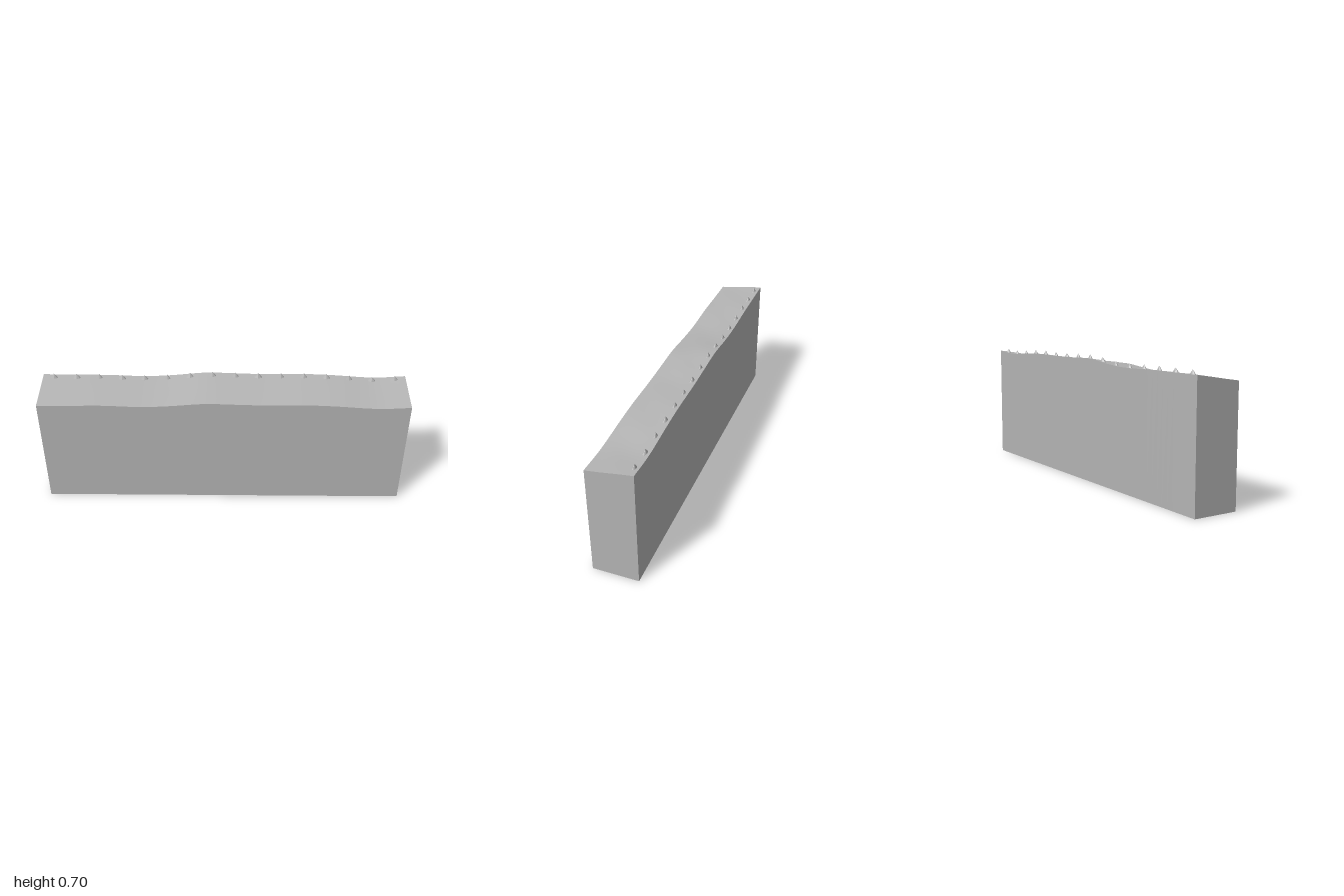
import * as THREE from 'three';

// Height of the front and back top edges, at matching x stations
const stations = [-1, -0.82, -0.65, -0.45, -0.3, -0.1, 0.05, 0.22, 0.45, 0.6, 0.8, 0.9, 1];
const frontEdge = [0.625, 0.626, 0.628, 0.621, 0.627, 0.643, 0.640, 0.636, 0.638, 0.632, 0.619, 0.620, 0.626];
const backEdge = [0.663, 0.662, 0.661, 0.655, 0.661, 0.680, 0.677, 0.672, 0.674, 0.668, 0.654, 0.656, 0.664];

// Smooth interpolation along an edge
function sample(edge, x) {
  let i = 0;
  while (i < stations.length - 2 && x > stations[i + 1]) i++;
  const t = (x - stations[i]) / (stations[i + 1] - stations[i]);
  const at = (k) => edge[Math.min(Math.max(k, 0), edge.length - 1)];
  const [a, b, c, d] = [at(i - 1), at(i), at(i + 1), at(i + 2)];
  return b + 0.5 * t * (c - a + t * (2 * a - 5 * b + 4 * c - d + t * (3 * (b - c) + d - a)));
}

// The top slopes up to the back, with faint diagonal ripples
function topHeight(x, z) {
  const t = (0.125 - z) / 0.25;
  const ripple = 0.0012 * Math.sin(t * Math.PI) * Math.sin(22 * x + 18 * z);
  return THREE.MathUtils.lerp(sample(frontEdge, x), sample(backEdge, x), t) + ripple;
}

export function createModel() {
  const model = new THREE.Group();
  const stone = new THREE.MeshStandardMaterial({ color: 0xb4b4b4 });
  stone.name = 'grey stone';
  const spikeStone = stone.clone();
  spikeStone.name = 'grey spike stone';
  spikeStone.flatShading = true;

  // Wall: a block whose top follows the wavy slope
  const wallGeometry = new THREE.BoxGeometry(2, 1, 0.25, 48, 1, 6);
  const p = wallGeometry.attributes.position;
  for (let i = 0; i < p.count; i++) {
    p.setY(i, p.getY(i) > 0 ? topHeight(p.getX(i), p.getZ(i)) : 0);
  }
  wallGeometry.computeVertexNormals();
  const wall = new THREE.Mesh(wallGeometry, stone);
  wall.name = 'wall';
  model.add(wall);

  // Row of small flattened spikes along the back of the top
  const spikes = new THREE.Group();
  spikes.name = 'spikes';
  const height = 0.03;
  const spikeGeometry = new THREE.ConeGeometry(0.025, height, 7);
  for (let i = 0; i < 16; i++) {
    const x = -0.9375 + i * 0.125;
    const spike = new THREE.Mesh(spikeGeometry, spikeStone);
    const size = 0.92 + 0.1 * Math.sin(i * 2.3);
    spike.name = 'spike';
    spike.scale.set(size, 0.95, size * 0.55);
    spike.position.set(x, topHeight(x, -0.1) - 0.004 + height * 0.475, -0.1);
    spikes.add(spike);
  }
  model.add(spikes);
  return model;
}
